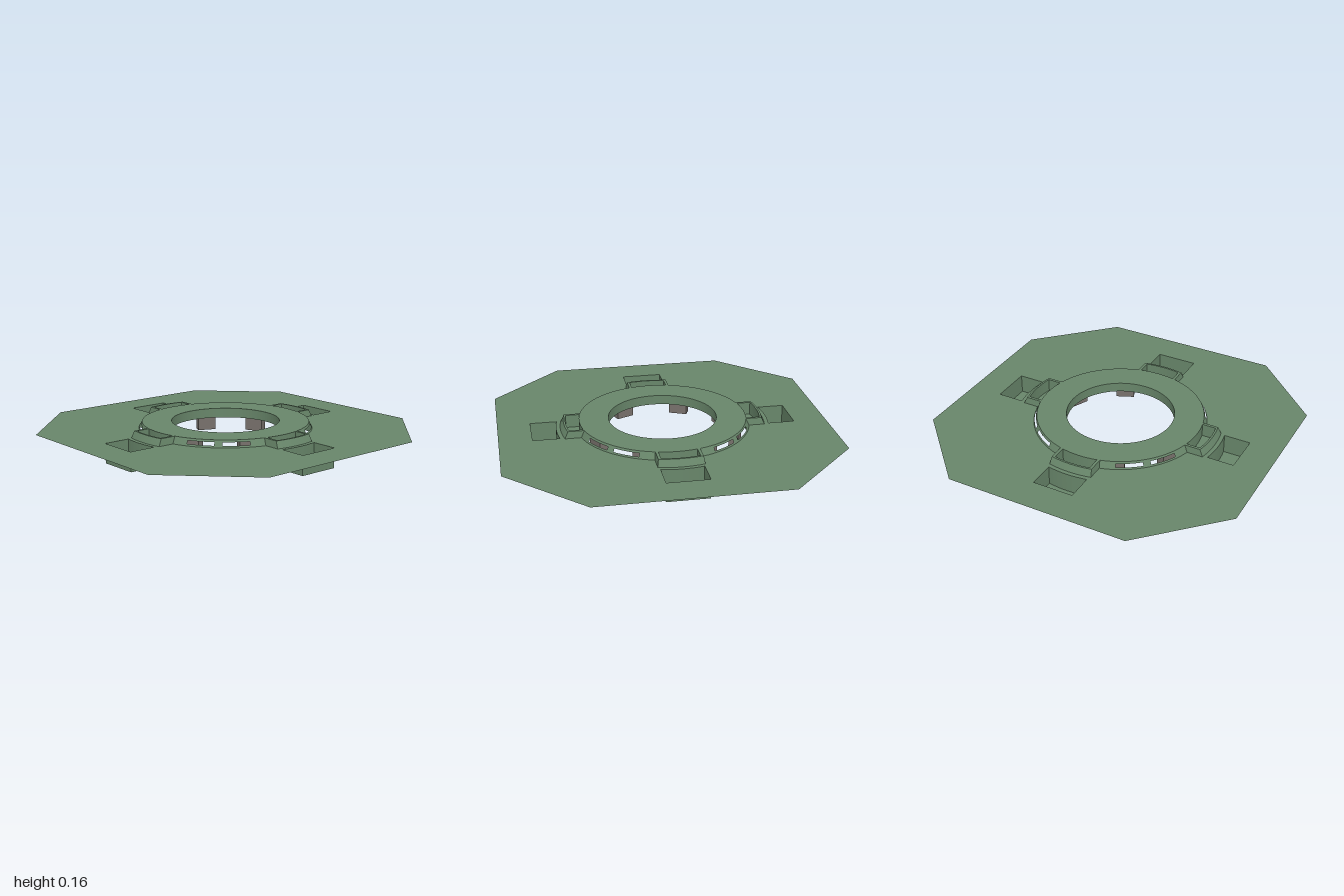
import * as THREE from 'three';

const green = new THREE.MeshStandardMaterial({ color: 0x68866a, side: THREE.DoubleSide });
green.name = 'matte green';
const grey = new THREE.MeshStandardMaterial({ color: 0x78716c });
grey.name = 'warm grey';

const PLATE_Y = 0.118, RING_Y = 0.16, HOLE_R = 0.33;
const TAB_SEGS = 8, ARC_SEGS = 24, QUARTER = TAB_SEGS + ARC_SEGS + 2;

// Points [x, z] on an arc, with the angle measured from +z towards +x
function arc(radius, from, to, segs) {
  return Array.from({ length: segs + 1 }, (_, i) => {
    const a = from + (to - from) * i / segs;
    return [radius * Math.sin(a), radius * Math.cos(a)];
  });
}

// Circle of radius r with four tabs reaching radius t, each of half width w
function tabbedOutline(r, t, w) {
  const pts = [];
  for (let k = 0; k < 4; k++) {
    const a = k * Math.PI / 2, inner = Math.asin(w / r), outer = Math.asin(w / t);
    pts.push(...arc(t, a - outer, a + outer, TAB_SEGS));
    pts.push(...arc(r, a + inner, a + Math.PI / 2 - inner, ARC_SEGS));
  }
  return pts;
}

// Outline between an inner arc and either an outer arc or a straight edge
function wellOutline(w, r, far, straight) {
  const a = Math.asin(w / r), b = Math.asin(w / far);
  const outer = straight ? [[-w, far], [w, far]] : arc(far, -b, b, 8);
  return [...outer, ...arc(r, a, -a, 8)];
}

const turn = (pts, k) => pts.map(([x, z]) => {
  const c = Math.cos(k * Math.PI / 2), s = Math.sin(k * Math.PI / 2);
  return [x * c + z * s, z * c - x * s];
});

const toVectors = pts => pts.map(([x, z]) => new THREE.Vector2(x, -z));

// Flat horizontal sheet facing up
function sheet(name, pts, y, holes = []) {
  const shape = new THREE.Shape(toVectors(pts));
  holes.forEach(h => shape.holes.push(new THREE.Path(toVectors(h))));
  const geo = new THREE.ShapeGeometry(shape);
  geo.rotateX(-Math.PI / 2).translate(0, y, 0);
  return named(new THREE.Mesh(geo, green), name);
}

// Wall strip between two matching closed outlines
function wall(name, low, yLow, high, yHigh, skip = () => false) {
  const pos = [];
  low.forEach((p, i) => {
    if (skip(i)) return;
    const j = (i + 1) % low.length;
    const a = [p[0], yLow, p[1]], b = [low[j][0], yLow, low[j][1]];
    const c = [high[j][0], yHigh, high[j][1]], d = [high[i][0], yHigh, high[i][1]];
    pos.push(...a, ...b, ...c, ...a, ...c, ...d);
  });
  const geo = new THREE.BufferGeometry();
  geo.setAttribute('position', new THREE.Float32BufferAttribute(pos, 3));
  geo.computeVertexNormals();
  return named(new THREE.Mesh(geo, green), name);
}

function named(object, name) {
  object.name = name;
  return object;
}

// Open-topped recess: side walls and a floor
function well(name, pts, yTop, yFloor) {
  const group = named(new THREE.Group(), name);
  group.add(wall(name + 'Walls', pts, yFloor, pts, yTop), sheet(name + 'Floor', pts, yFloor));
  return group;
}

export function createModel() {
  const model = named(new THREE.Group(), 'octagonalBase');
  const sides = [0, 1, 2, 3];

  const rimLow = tabbedOutline(0.53, 0.625, 0.136);
  const rimHigh = tabbedOutline(0.51, 0.605, 0.13);
  const pocket = wellOutline(0.125, 0.65, 0.8, true);
  const recess = wellOutline(0.113, 0.51, 0.593, false);
  const hole = arc(HOLE_R, 0, Math.PI * 2, 96).slice(0, -1);

  // Octagonal plate, cut for the ring and the four pockets
  const octagon = [[-0.56, 1], [0.56, 1], [1, 0.56], [1, -0.56],
    [0.56, -1], [-0.56, -1], [-1, -0.56], [-1, 0.56]];
  model.add(sheet('plate', octagon, PLATE_Y, [rimLow, ...sides.map(k => turn(pocket, k))]));

  // Raised ring with tabs
  model.add(sheet('ringTop', rimHigh, RING_Y, [hole, ...sides.map(k => turn(recess, k))]));
  model.add(wall('ringInnerWall', hole, 0.1, hole, RING_Y));

  // Sloped rim, with two slits in each quarter
  const mix = t => rimLow.map((p, i) => p.map((v, n) => v + (rimHigh[i][n] - v) * t));
  const levels = [0, 0.25, 0.7, 1];
  const isSlit = i => {
    const s = i % QUARTER - TAB_SEGS - 1;
    return (s >= 4 && s <= 10) || (s >= 13 && s <= 19);
  };
  for (let n = 0; n < 3; n++) {
    const y = t => PLATE_Y + (RING_Y - PLATE_Y) * t;
    model.add(wall('rim' + (n + 1), mix(levels[n]), y(levels[n]),
      mix(levels[n + 1]), y(levels[n + 1]), n === 1 ? isSlit : undefined));
  }

  // Pockets in the plate and recesses in the tabs
  for (const k of sides) {
    model.add(well('pocket', turn(pocket, k), PLATE_Y, 0));
    model.add(well('tabRecess', turn(recess, k), RING_Y, 0.08));
  }

  // Eight feet under the ring
  const footGeo = new THREE.BoxGeometry(0.115, 0.15, 0.058);
  for (const k of sides) {
    for (const side of [-1, 1]) {
      const a = k * Math.PI / 2 + side * THREE.MathUtils.degToRad(24);
      const foot = named(new THREE.Mesh(footGeo, grey), 'foot');
      foot.position.set(0.452 * Math.sin(a), 0.075, 0.452 * Math.cos(a));
      foot.rotation.y = a;
      model.add(foot);
    }
  }
  return model;
}
